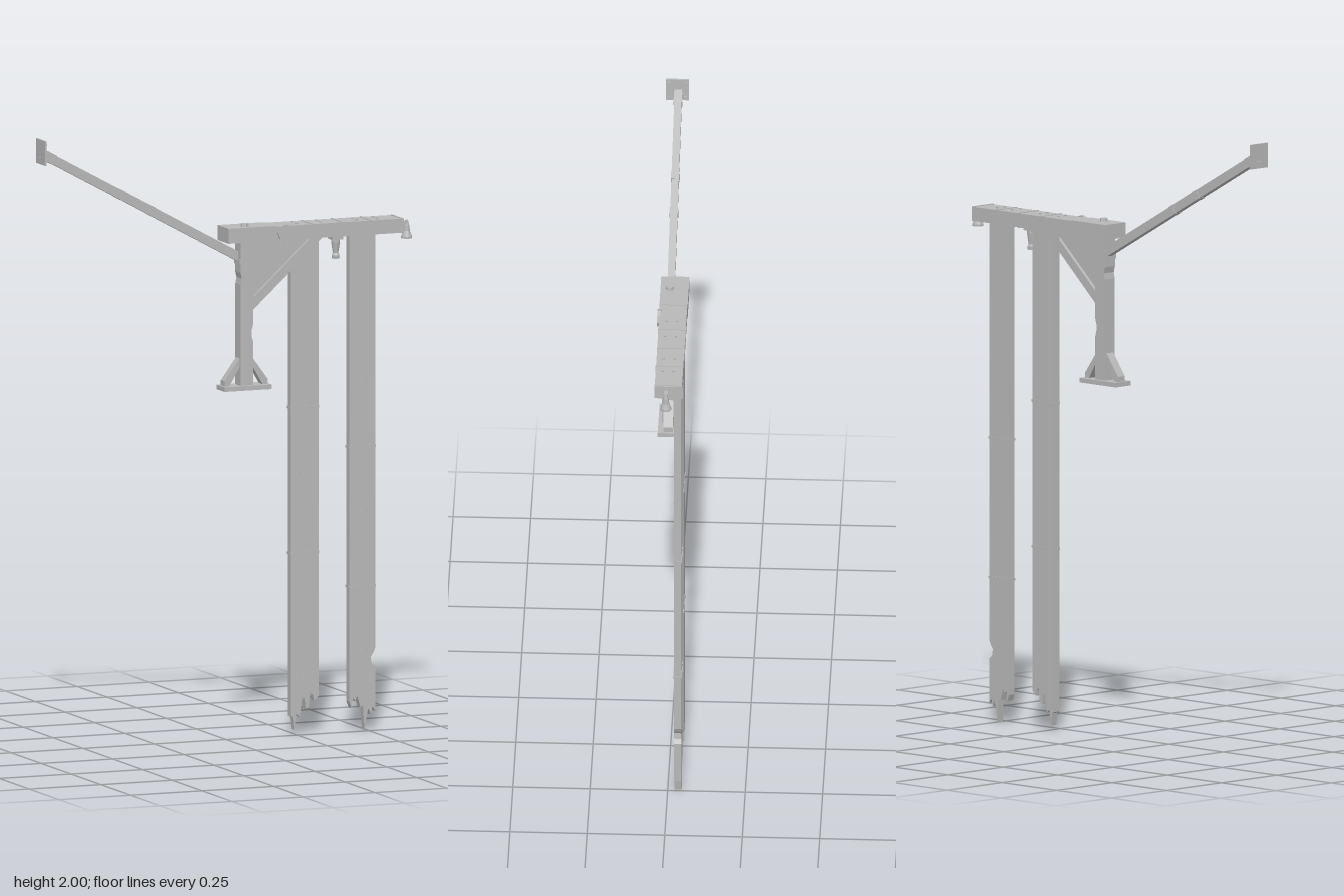
import * as THREE from 'three';

export function createModel() {
  const root = new THREE.Group();
  const grey = new THREE.MeshStandardMaterial({ color: 0xb8b8b8, flatShading: true });
  grey.name = 'weatheredGrey';

  const add = (name, geometry, x = 0, y = 0, z = 0) => {
    const mesh = new THREE.Mesh(geometry, grey);
    mesh.name = name;
    mesh.position.set(x, y, z);
    root.add(mesh);
    return mesh;
  };
  // Box given by its limits on each axis
  const box = (name, x0, x1, y0, y1, z0, z1) =>
    add(name, new THREE.BoxGeometry(x1 - x0, y1 - y0, z1 - z0), (x0 + x1) / 2, (y0 + y1) / 2, (z0 + z1) / 2);
  // Outline in x and y, extruded between two depths
  const slab = (name, points, z0, z1) => {
    const shape = new THREE.Shape(points.map(([x, y]) => new THREE.Vector2(x, y)));
    return add(name, new THREE.ExtrudeGeometry(shape, { depth: z1 - z0, bevelEnabled: false }), 0, 0, z0);
  };

  // Overhead beam with overlapping straps
  box('beam', -0.006, 0.605, 1.628, 1.674, -0.05, 0.038);
  box('beamSleeve', -0.008, 0.15, 1.627, 1.676, -0.051, 0.04);
  for (const x of [0.285, 0.39, 0.49, 0.598]) {
    box('beamStrap', x - 0.003, x + 0.003, 1.627, 1.676, -0.051, 0.039);
  }
  for (const x of [0.24, 0.325, 0.45, 0.52]) for (const z of [-0.02, 0.015]) {
    add('beamBolt', new THREE.CylinderGeometry(0.004, 0.004, 0.005, 6), x, 1.676, z);
  }
  add('topNut', new THREE.CylinderGeometry(0.012, 0.014, 0.012, 6), 0.06, 1.68, 0.01);
  add('frontDisc', new THREE.CylinderGeometry(0.028, 0.028, 0.012, 8), 0.19, 1.652, 0.039).rotation.x = Math.PI / 2;

  // Chipped post on a spread foot
  slab('post', [[0.035, 1.16], [0.08, 1.16], [0.08, 1.3], [0.074, 1.32], [0.074, 1.34], [0.08, 1.36],
    [0.08, 1.63], [0.035, 1.63], [0.035, 1.53], [0.04, 1.51], [0.036, 1.49]], -0.01, 0.035);
  box('foot', -0.025, 0.14, 1.146, 1.161, -0.022, 0.046);
  for (const side of [-1, 1]) {
    const x = (d) => 0.0575 + side * d;
    slab('footBrace', [[x(0.022), 1.25], [x(0.075), 1.178], [x(0.075), 1.16], [x(0.058), 1.16], [x(0.022), 1.222]], -0.003, 0.028);
  }
  box('postCollar', 0.032, 0.083, 1.555, 1.572, -0.012, 0.037);

  // Corner panel and diagonal brace below the beam
  slab('cornerPanel', [[0.08, 1.628], [0.08, 1.44], [0.29, 1.628]], 0.005, 0.02);
  slab('diagonalBrace', [[0.08, 1.405], [0.325, 1.628], [0.282, 1.628], [0.08, 1.445]], -0.006, 0.031);

  // Long stay rising to a wall plate
  const start = new THREE.Vector2(-0.648, 1.954), end = new THREE.Vector2(0.045, 1.575);
  const angle = Math.atan2(end.y - start.y, end.x - start.x);
  const length = start.distanceTo(end);
  const onStay = (name, t, len, height, depth) => {
    const mesh = add(name, new THREE.BoxGeometry(len, height, depth),
      start.x + (end.x - start.x) * t, start.y + (end.y - start.y) * t, 0.009);
    mesh.rotation.z = angle;
  };
  onStay('stay', 0.5, length, 0.029, 0.024);
  onStay('stayHead', 0.035, 0.035, 0.032, 0.028);
  for (const t of [0.39, 0.55]) onStay('staySleeve', t, 0.022, 0.031, 0.028);
  box('wallPlate', -0.654, -0.648, 1.92, 2.0, -0.025, 0.05);
  for (const y of [1.932, 1.988]) for (const z of [-0.014, 0.039]) {
    box('plateBolt', -0.648, -0.644, y - 0.004, y + 0.004, z - 0.004, z + 0.004);
  }

  // Hanging boards with splintered lower ends
  const boards = [
    { x0: 0.233, x1: 0.333, joints: [1.07, 0.595], nails: [1.55, 1.345, 0.855, 0.36, 0.19],
      ends: [[0.233, 0.065], [0.242, 0.06], [0.247, 0.02], [0.255, 0.07], [0.268, 0.06], [0.274, 0.12], [0.284, 0.12],
        [0.288, 0.085], [0.298, 0.09], [0.303, 0.135], [0.314, 0.13], [0.317, 0.11], [0.333, 0.125]] },
    { x0: 0.439, x1: 0.53, joints: [0.93, 0.475], nails: [1.58, 1.14, 0.72, 0.27],
      ends: [[0.439, 0.1], [0.447, 0.08], [0.453, 0.11], [0.462, 0.1], [0.467, 0.12], [0.478, 0.08], [0.487, 0.085],
        [0.493, 0.005], [0.5, 0.05], [0.506, 0.075], [0.514, 0.055], [0.521, 0.08], [0.53, 0.065],
        [0.53, 0.21], [0.517, 0.222], [0.514, 0.242], [0.523, 0.255], [0.53, 0.27]] },
  ];
  for (const { x0, x1, joints, nails, ends } of boards) {
    slab('hangingBoard', [...ends, [x1, 1.63], [x0, 1.63]], -0.045, -0.021);
    for (const y of joints) {
      box('boardJoint', x0 - 0.002, x1 + 0.002, y - 0.004, y + 0.004, -0.047, -0.019);
    }
    for (const y of nails) for (const d of [-0.015, 0.015]) {
      const x = (x0 + x1) / 2 + d;
      box('nail', x - 0.002, x + 0.002, y - 0.002, y + 0.002, -0.021, -0.019);
    }
  }

  // Lamp under the beam and bell at its end
  const turned = (name, profile, x, z) =>
    add(name, new THREE.LatheGeometry(profile.map(([r, y]) => new THREE.Vector2(r, y)), 10), x, 0, z);
  box('lampMount', 0.363, 0.402, 1.615, 1.629, -0.018, 0.02);
  turned('lamp', [[0, 1.552], [0.012, 1.552], [0.013, 1.563], [0.009, 1.57], [0.014, 1.605], [0.014, 1.618], [0, 1.618]], 0.383, 0);
  box('bellArm', 0.605, 0.632, 1.648, 1.66, -0.005, 0.007);
  turned('bell', [[0, 1.604], [0.018, 1.604], [0.018, 1.61], [0.011, 1.628], [0.009, 1.645], [0.004, 1.664], [0, 1.664]], 0.63, 0.001);

  return root;
}
